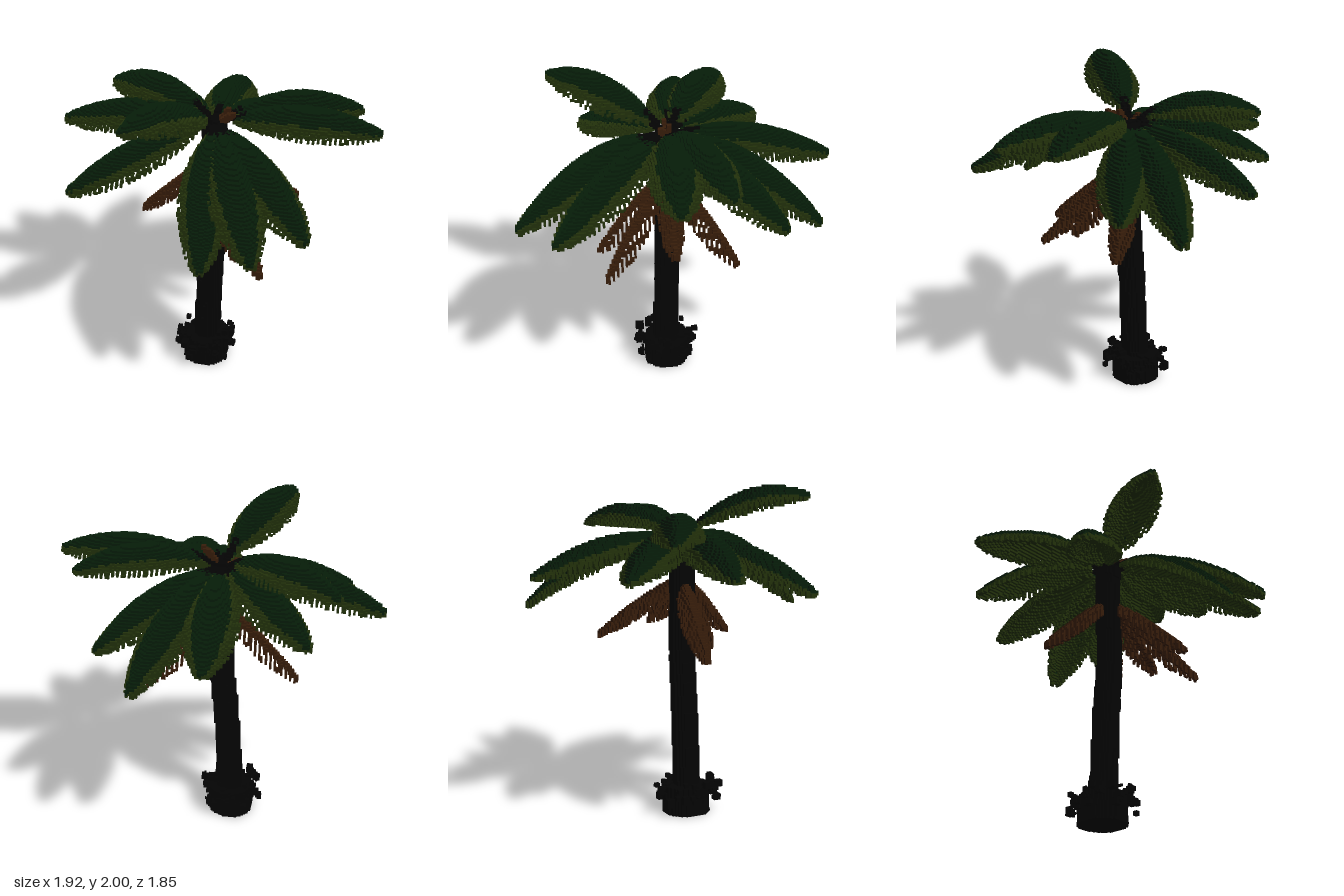
import * as THREE from 'three';

const V = 2 / 150; // cube size
const CROWN = new THREE.Vector3(0, 1.68, 0.03);

const mat = (name, color) => {
  const m = new THREE.MeshStandardMaterial({ color });
  m.name = name;
  return m;
};

// Seeded random numbers
let seed = 7;
const rnd = () => (seed = (seed * 16807) % 2147483647) / 2147483647;

// Shared grid of cubes: every cell remembers its part and material
const makeGrid = () => {
  const cells = new Map();
  const key = c => (c[0] + 512) * 1048576 + (c[1] + 512) * 1024 + c[2] + 512;
  const at = c => cells.get(key(c));
  const put = (part, m, c) => {
    if (c[1] >= 0 && c[1] < 150 && !at(c)) cells.set(key(c), { part, m, c });
  };
  const paint = (part, m, x, y, z) => put(part, m, [x, y, z].map(a => Math.floor(a / V)));
  return { cells, at, paint };
};

// Filled ball of cubes
const ball = (grid, part, m, x, y, z, r) => {
  for (let a = -r; a <= r; a += V / 2)
    for (let b = -r; b <= r; b += V / 2)
      for (let c = -r; c <= r; c += V / 2)
        if (a * a + b * b + c * c <= r * r) grid.paint(part, m, x + a, y + b, z + c);
};

// Arched leaf: a curved rib with drooping, comb-like leaflets on both sides
const leaf = (grid, part, start, tip, midY, o) => {
  const ctrl = start.clone().lerp(tip, 0.5);
  ctrl.y = 2 * midY - (start.y + tip.y) / 2;
  const curve = new THREE.QuadraticBezierCurve3(start, ctrl, tip);
  const dir = tip.clone().sub(start).setY(0).normalize();
  const centre = a => (Math.floor(a / V) + 0.5) * V;
  // Gaps between leaflets, decided once for each column of cubes
  const inGap = (x, z) => {
    const dx = centre(x) - start.x, dz = centre(z) - start.z;
    const along = dx * dir.x + dz * dir.z, across = Math.abs(dz * dir.x - dx * dir.z);
    const f = (along - across * 0.3) / (2.4 * V) + 20;
    return f - Math.floor(f) > 0.55;
  };
  const under = [];
  const N = 260, S = 30;
  for (let i = 0; i <= N; i++) {
    const t = i / N;
    const p = curve.getPoint(t);
    if (t < o.stalk) {
      for (let s = -1; s <= 1; s++) grid.paint(part, 'bark', p.x - dir.z * s * V, p.y, p.z + dir.x * s * V);
      if (t < o.stalk * 0.7) continue;
    }
    const q = (t - o.stalk * 0.7) / (1 - o.stalk * 0.7);
    const w = o.width * Math.pow(Math.sin(Math.PI * Math.min(1, 0.03 + q * 0.95)), 0.7);
    for (let j = -S; j <= S; j++) {
      const s = j / S, a = Math.abs(s);
      const x = p.x - dir.z * s * w, z = p.z + dir.x * s * w;
      if (a > o.comb(t) && inGap(x, z)) continue;
      const y = p.y - o.drop * (w / o.width) * Math.pow(a, 1.8);
      grid.paint(part, a > o.rim ? o.under : o.top, x, y, z);
      if (a <= 0.9) under.push([x, y - V, z]);
    }
  }
  // Paler lower layer
  under.forEach(c => grid.paint(part, o.under, ...c));
};

// Turn the cubes of one part into outer faces, merged into strips
const meshPart = (grid, part, list, materials) => {
  const names = [...new Set(list.map(e => e.m))];
  const pos = [], nor = [];
  const geo = new THREE.BufferGeometry();
  names.forEach((m, index) => {
    const first = pos.length / 3;
    for (let d = 0; d < 3; d++) for (const sign of [1, -1]) {
      const u = (d + 1) % 3, v = (d + 2) % 3;
      const shows = c => {
        const e = grid.at(c);
        if (!e || e.part !== part || e.m !== m) return false;
        const n = [...c];
        n[d] += sign;
        return !grid.at(n);
      };
      for (const e of list) {
        if (e.m !== m || !shows(e.c)) continue;
        const c = [...e.c];
        c[u]--;
        if (shows(c)) continue;
        c[u]++;
        let run = 0;
        do { run++; c[u]++; } while (shows(c));
        const corner = (a, b) => {
          const k = [...e.c];
          k[u] += a; k[v] += b;
          if (sign > 0) k[d]++;
          return k.map(n => n * V);
        };
        const q = [corner(0, 0), corner(run, 0), corner(run, 1), corner(0, 1)];
        if (sign < 0) q.reverse();
        const n = [0, 0, 0];
        n[d] = sign;
        for (const k of [0, 1, 2, 0, 2, 3]) { pos.push(...q[k]); nor.push(...n); }
      }
    }
    geo.addGroup(first, pos.length / 3 - first, index);
  });
  geo.setAttribute('position', new THREE.Float32BufferAttribute(pos, 3));
  geo.setAttribute('normal', new THREE.Float32BufferAttribute(nor, 3));
  const mesh = new THREE.Mesh(geo, names.map(n => materials[n]));
  mesh.name = part;
  return mesh;
};

export function createModel() {
  seed = 7;
  const materials = {
    bark: mat('bark', 0x040404),
    leafTop: mat('leafTop', 0x061d09),
    leafUnder: mat('leafUnder', 0x22310b),
    dryLeaf: mat('dryLeaf', 0x371d0a),
  };
  const grid = makeGrid();

  // Leaning trunk, wider at the foot
  const spine = new THREE.CatmullRomCurve3([
    [-0.055, 0, 0.035], [-0.045, 0.3, 0.035], [-0.02, 0.75, 0.038],
    [0.005, 1.05, 0.035], [-0.003, 1.4, 0.03], [0, 1.7, 0.03],
  ].map(p => new THREE.Vector3(...p)));
  for (let i = 0; i <= 400; i++) {
    const p = spine.getPoint(i / 400);
    const r = p.y < 0.17 ? 0.135 : 0.076 - 0.006 * p.y;
    for (let a = -r; a <= r; a += V / 2)
      for (let b = -r; b <= r; b += V / 2)
        if (a * a + b * b <= r * r) grid.paint('trunk', 'bark', p.x + a, p.y, p.z + b);
  }

  // Ragged clumps round the foot
  for (let i = 0; i < 60; i++) {
    const a = i * 2.4, r = 0.1 + rnd() * 0.1;
    ball(grid, 'rootClumps', 'bark', -0.055 + Math.cos(a) * r, 0.07 + rnd() * 0.13,
      0.035 + Math.sin(a) * r, 0.009 + rnd() * 0.014);
  }

  // Crown hub and small dry shoots
  ball(grid, 'crown', 'bark', 0, 1.65, 0.03, 0.07);
  for (const [x, y, z] of [[0.12, 1.79, 0.08], [0.09, 1.79, 0.03], [-0.09, 1.73, 0.04]])
    for (let t = 0.45; t <= 1; t += 0.05) {
      ball(grid, 'dryShoots', 'dryLeaf', x * t, 1.68 + (y - 1.68) * t, 0.03 + (z - 0.03) * t, 0.013);
    }

  // Green fronds: tip x, y, z and height at mid length
  const green = {
    width: 0.147, drop: 0.125, stalk: 0.2, rim: 0.66, top: 'leafTop', under: 'leafUnder', comb: () => 0.77,
  };
  [
    [-0.03, 1.51, -0.92, 1.71], [0.39, 1.3, -0.81, 1.65], [0.63, 1.42, -0.57, 1.67],
    [0.81, 1.75, -0.24, 1.86], [0.95, 1.76, 0.05, 1.85], [0.65, 1.42, 0.7, 1.67],
    [0.4, 1.37, 0.91, 1.67], [0.11, 1.26, 0.87, 1.63], [-0.35, 1.95, 0.69, 1.96],
    [-0.74, 1.42, 0.5, 1.66], [-0.95, 1.55, -0.12, 1.74], [-0.7, 1.72, -0.35, 1.85],
    [-0.55, 1.52, -0.56, 1.72],
  ].forEach(([x, y, z, mid], i) =>
    leaf(grid, 'frond' + (i + 1), CROWN, new THREE.Vector3(x, y, z), mid, green));

  // Dry fronds hanging below the crown
  const dry = {
    width: 0.066, drop: 0.1, stalk: 0, rim: 2, top: 'dryLeaf', under: 'dryLeaf',
    comb: t => Math.max(0.16, 0.75 - t * 1.1),
  };
  [
    [-0.46, 1.03, -0.04], [0.44, 1.07, -0.33], [0.45, 1.14, 0.03], [0.36, 0.95, 0.42], [0.22, 1.08, 0.45],
  ].forEach(([x, y, z], i) =>
    leaf(grid, 'dryFrond' + (i + 1), new THREE.Vector3(0, 1.46, 0.03), new THREE.Vector3(x, y, z),
      (1.46 + y) / 2 + 0.03, dry));

  // One mesh for each part
  const parts = new Map();
  for (const e of grid.cells.values()) {
    if (!parts.has(e.part)) parts.set(e.part, []);
    parts.get(e.part).push(e);
  }
  const group = new THREE.Group();
  group.name = 'palmTree';
  for (const [part, list] of parts) group.add(meshPart(grid, part, list, materials));
  return group;
}
